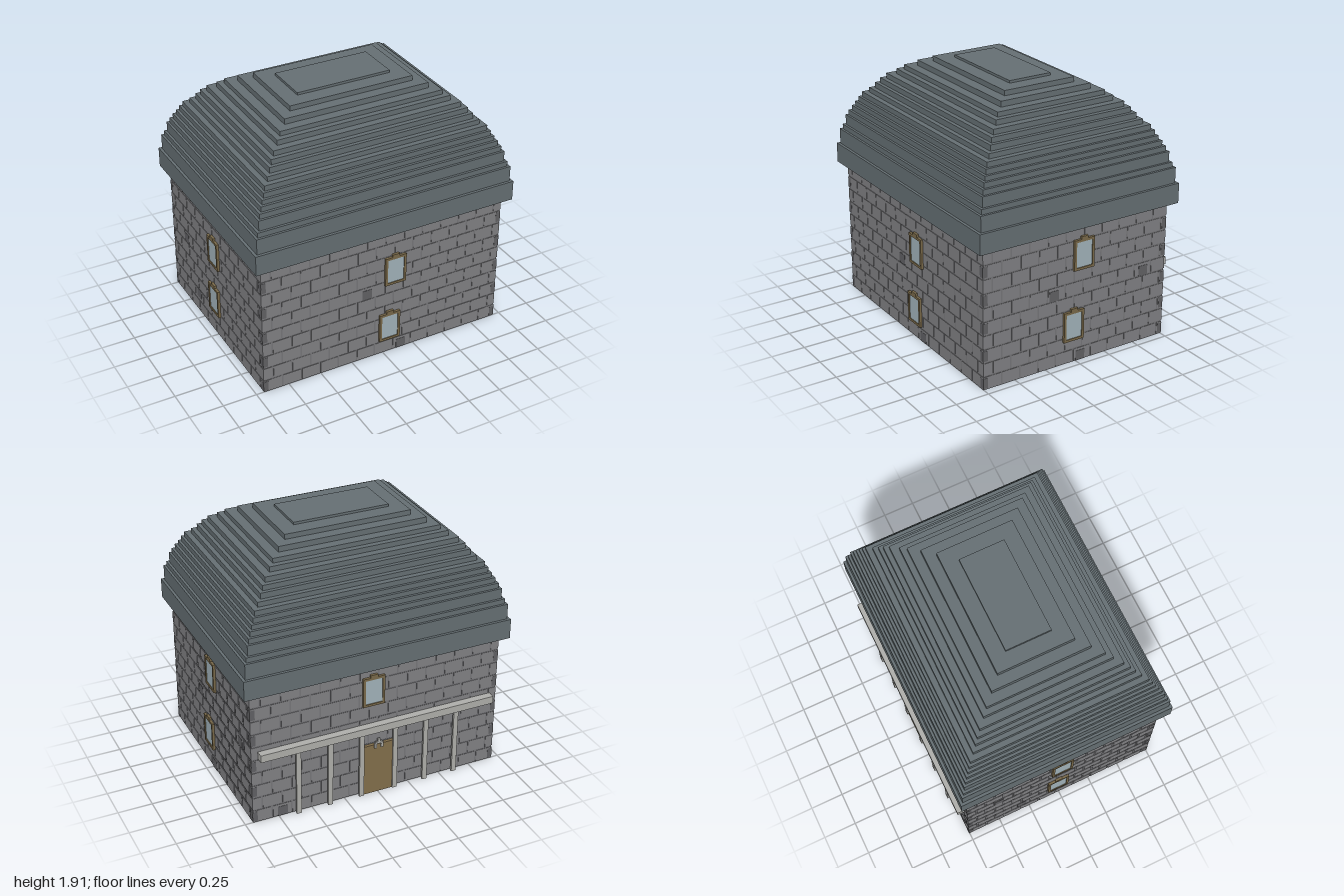
import * as THREE from 'three';
import { mergeGeometries } from 'three/addons/utils/BufferGeometryUtils.js';

const mat = (color) => new THREE.MeshStandardMaterial({ color, flatShading: true });
const MAT = {
  mortar: mat(0x77777a), stone: mat(0x828285), darkStone: mat(0x626265),
  roof: mat(0x667074), trim: mat(0x7a6a4a), glass: mat(0xa3b4bc),
  wood: mat(0x84704c), beam: mat(0xb0b0ac),
};

// Box geometry given by its centre in x, its base in y and its back in z
function slab(w, h, d, x, y, z) {
  return new THREE.BoxGeometry(w, h, d).translate(x, y + h / 2, z + d / 2);
}

function add(parent, name, geometries, material) {
  const mesh = new THREE.Mesh(mergeGeometries(geometries), material);
  mesh.name = name;
  parent.add(mesh);
  return mesh;
}

const HALF_X = 0.945, HALF_Z = 0.755, WALL_H = 1.024, RELIEF = 0.003;

// Staggered stone courses, corner stones and odd dark stones on one wall
function addStones(wall, half, darkSpots) {
  const rows = 10, rowH = WALL_H / rows, pitch = 0.146, gap = 0.012;
  const stones = [], dark = [];
  for (let r = 0; r < rows; r++) {
    const y = r * rowH;
    const shift = (r % 2) * pitch / 2;
    for (let x = -half - shift; x < half; x += pitch) {
      const a = Math.max(x + gap / 2, -half), b = Math.min(x + pitch - gap / 2, half);
      if (b - a > 0.01) stones.push(slab(b - a, rowH - gap, RELIEF, (a + b) / 2, y + gap / 2, -RELIEF));
    }
    if (r % 2 === 0) {
      for (const s of [-1, 1]) dark.push(slab(0.036, rowH * 0.75, 0.002, s * (half - 0.018), y + 0.01, -0.001));
    }
  }
  for (const [x, y] of darkSpots) dark.push(slab(0.075, 0.075, 0.003, x, y - 0.0375, -0.001));
  add(wall, 'stoneCourses', stones, MAT.stone);
  add(wall, 'darkStones', dark, MAT.darkStone);
}

// Framed window with a small raised tab on its head
function addWindow(wall, x, y) {
  const win = new THREE.Group();
  win.name = 'window';
  const w = 0.165, h = 0.225, t = 0.018, d = 0.018;
  add(win, 'windowFrame', [
    slab(w, t, d, 0, 0, 0),
    slab(w, t, d, 0, h - t, 0),
    slab(t, h - 2 * t, d, -(w - t) / 2, t, 0),
    slab(t, h - 2 * t, d, (w - t) / 2, t, 0),
    slab(0.055, 0.02, d, 0, h, 0),
  ], MAT.trim);
  add(win, 'windowPane', [slab(w - 2 * t, h - 2 * t, 0.012, 0, t, 0)], MAT.glass);
  win.position.set(x, y, 0);
  wall.add(win);
}

// Each wall is laid out facing +z, then turned into place
const WALLS = [
  { name: 'frontWall', turn: 0, half: HALF_X, out: HALF_Z,
    windows: [[0.083, 0.585], [0.045, 0.115]], dark: [[-0.135, 0.55], [0.145, 0.04]] },
  { name: 'leftWall', turn: Math.PI / 2, half: HALF_Z, out: HALF_X,
    windows: [[0.045, 0.7], [-0.03, 0.175]], dark: [[-0.19, 0.55], [0.565, 0.55], [0.035, 0.04]] },
  { name: 'backWall', turn: Math.PI, half: HALF_X, out: HALF_Z,
    windows: [[-0.036, 0.72]], dark: [[-0.72, 0.04]] },
  { name: 'rightWall', turn: -Math.PI / 2, half: HALF_Z, out: HALF_X,
    windows: [[0, 0.605], [-0.02, 0.19]], dark: [[-0.5, 0.55], [-0.316, 0.165]] },
];

// Roof tiers from the eaves up: [half width, top height]
const TIERS = [
  [1.0, 1.172], [0.98, 1.287], [0.963, 1.324], [0.945, 1.4], [0.928, 1.438], [0.909, 1.476],
  [0.89, 1.51], [0.871, 1.548], [0.852, 1.586], [0.812, 1.622], [0.779, 1.664], [0.752, 1.702],
  [0.718, 1.74], [0.664, 1.778], [0.623, 1.812], [0.552, 1.853], [0.471, 1.89], [0.357, 1.908],
];

function createRoof() {
  const roof = new THREE.Group();
  roof.name = 'roof';
  let base = WALL_H;
  for (const [hx, top] of TIERS) {
    const hz = hx - 0.19;
    add(roof, 'roofTier', [slab(hx * 2, top - base, hz * 2, 0, base, -hz)], MAT.roof);
    base = top;
  }
  return roof;
}

// Door, posts and beam, laid out on the back wall
function addPorch(wall) {
  const porch = new THREE.Group();
  porch.name = 'porch';
  add(porch, 'door', [slab(0.27, 0.4, 0.022, 0, 0, 0)], MAT.wood);
  const posts = [];
  for (const x of [0.13, 0.37, 0.61]) {
    for (const s of [-1, 1]) posts.push(slab(0.036, 0.516, 0.016, s * x, 0, 0.016));
  }
  add(porch, 'posts', posts, MAT.beam);
  add(porch, 'beam', [slab(1.79, 0.056, 0.055, 0, 0.516, 0)], MAT.beam);
  // Small twin-legged ornament over the door
  add(porch, 'doorOrnament', [
    slab(0.018, 0.04, 0.014, -0.025, 0.375, 0.02),
    slab(0.018, 0.04, 0.014, 0.025, 0.375, 0.02),
    slab(0.05, 0.016, 0.014, 0, 0.41, 0.02),
    slab(0.02, 0.022, 0.014, 0, 0.426, 0.02),
  ], MAT.beam);
  wall.add(porch);
}

export function createModel() {
  const model = new THREE.Group();
  model.name = 'stoneHouse';
  const hx = HALF_X - RELIEF, hz = HALF_Z - RELIEF;
  add(model, 'wallCore', [slab(hx * 2, WALL_H, hz * 2, 0, 0, -hz)], MAT.mortar);
  for (const { name, turn, half, out, windows, dark } of WALLS) {
    const wall = new THREE.Group();
    wall.name = name;
    addStones(wall, half, dark);
    for (const [x, y] of windows) addWindow(wall, x, y);
    if (name === 'backWall') addPorch(wall);
    wall.rotation.y = turn;
    wall.position.set(Math.sin(turn) * out, 0, Math.cos(turn) * out);
    model.add(wall);
  }
  model.add(createRoof());
  return model;
}
